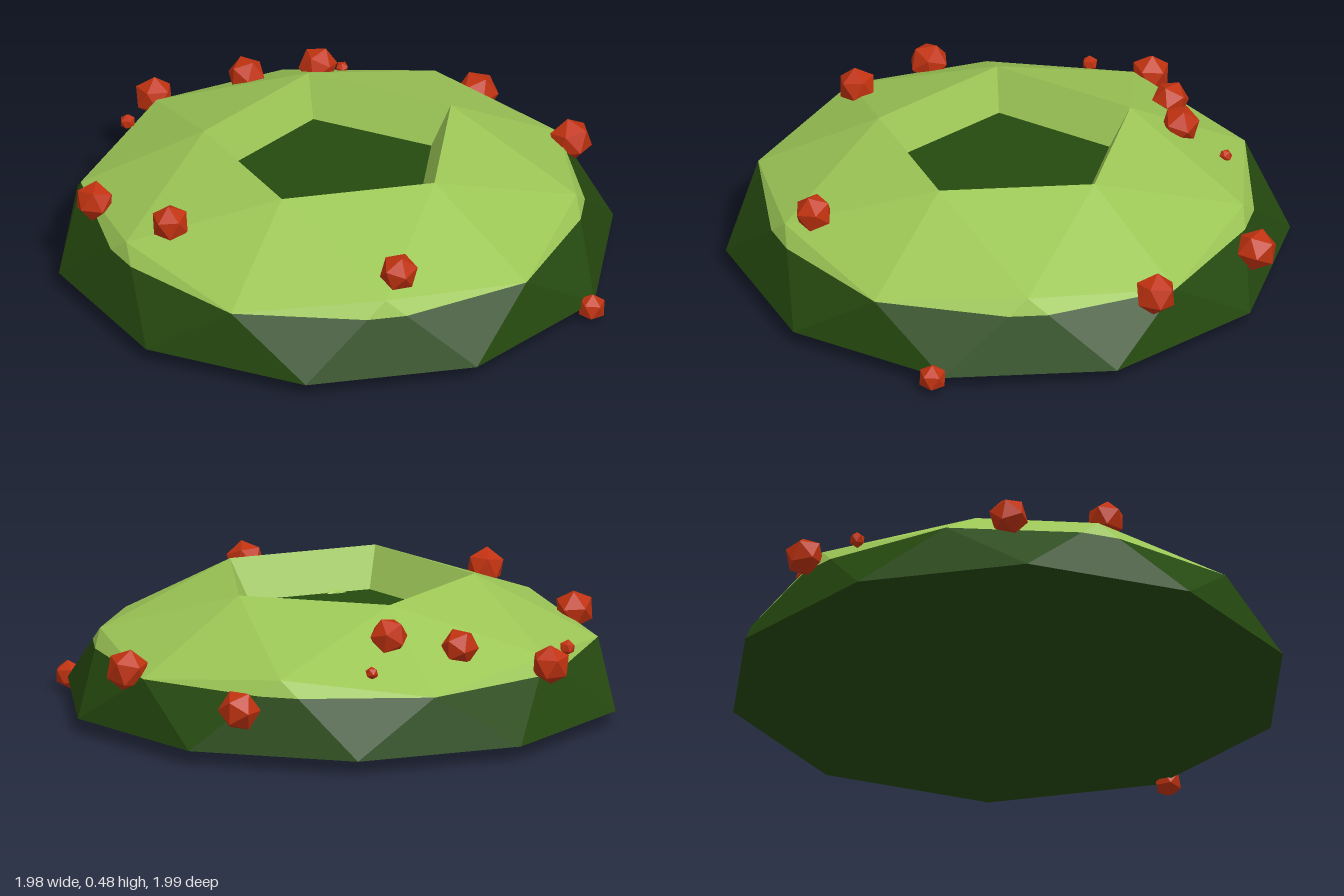
import * as THREE from 'three';

const CX = -0.025; // the body's axis

// Point on a ring round the axis: angle in degrees, radius, height
function ringPoint(deg, r, y) {
  const a = THREE.MathUtils.degToRad(deg);
  return new THREE.Vector3(CX + r * Math.cos(a), y, r * Math.sin(a));
}

// Faceted mesh from a list of triangles
function facets(name, triangles, material) {
  const geometry = new THREE.BufferGeometry().setFromPoints(triangles.flat());
  geometry.computeVertexNormals();
  const mesh = new THREE.Mesh(geometry, material);
  mesh.name = name;
  return mesh;
}

export function createModel() {
  const make = (name, color) => {
    const m = new THREE.MeshStandardMaterial({ color, flatShading: true });
    m.name = name;
    return m;
  };
  const lightGreen = make('lightGreen', 0x9cc656);
  const darkGreen = make('darkGreen', 0x25490f);
  const red = make('red', 0xc03210);

  const group = new THREE.Group();
  group.name = 'domedPlant';

  const skirt = [], cap = [], walls = [], floor = [], base = [];
  const baseCentre = new THREE.Vector3(CX, 0.055, 0);
  const floorCentre = new THREE.Vector3(CX, 0.342, 0);

  // Five equal sectors of a faceted dome
  for (let k = 0; k < 5; k++) {
    const t = 72 * k;
    const [e0, e1, e2] = [-18, 18, 54].map(d => ringPoint(t + d, 0.997, 0.055));
    const a = ringPoint(t, 0.904, 0.25), a2 = ringPoint(t + 72, 0.904, 0.25);
    const m = ringPoint(t + 36, 0.852, 0.308);
    const p = ringPoint(t, 0.467, 0.485), p2 = ringPoint(t + 72, 0.467, 0.485);
    const f = ringPoint(t, 0.387, 0.342), f2 = ringPoint(t + 72, 0.387, 0.342);
    // where the colour line crosses the facets below m
    const s = (m.y - 0.25) / (m.y - 0.055);
    const c1 = m.clone().lerp(e1, s), c2 = m.clone().lerp(e2, s);

    skirt.push([e0, a, e1], [e1, a, c1], [e1, c1, e2], [e2, c1, c2], [e2, c2, a2]);
    cap.push([a, m, c1], [c1, m, c2], [c2, m, a2], [a, p, m], [m, p, p2], [m, p2, a2]);
    walls.push([f, f2, p], [p, f2, p2]);
    floor.push([floorCentre, f2, f]);
    base.push([baseCentre, e0, e1], [baseCentre, e1, e2]);
  }
  group.add(
    facets('lowerSkirt', skirt, darkGreen),
    facets('base', base, darkGreen),
    facets('upperCap', cap, lightGreen),
    facets('hollowWalls', walls, lightGreen),
    facets('hollowFloor', floor, darkGreen)
  );

  // Small sprout in the hollow
  const sprout = new THREE.Mesh(new THREE.IcosahedronGeometry(0.035, 0), lightGreen);
  sprout.name = 'sprout';
  sprout.position.set(0.165, 0.337, 0.26);
  sprout.rotation.y = 0.9;
  sprout.scale.set(1.3, 0.5, 0.4);
  group.add(sprout);

  // Red berries scattered on the dome: x, y, z, radius
  const berries = [
    [-0.19, 0.21, -0.925, 0.076], [0.34, 0.265, -0.83, 0.078], [0.94, 0.055, -0.275, 0.052],
    [-0.53, 0.32, -0.59, 0.024], [-0.495, 0.415, -0.425, 0.07], [-0.69, 0.37, -0.265, 0.068],
    [-0.925, 0.29, -0.04, 0.072], [-0.86, 0.3, 0.17, 0.029], [-0.575, 0.3, 0.66, 0.072],
    [-0.17, 0.39, 0.71, 0.07], [0.635, 0.37, 0.4, 0.07]
  ];
  berries.forEach(([x, y, z, r], i) => {
    const berry = new THREE.Mesh(new THREE.IcosahedronGeometry(r, 0), red);
    berry.name = 'berry' + (i + 1);
    berry.position.set(x, y, z);
    berry.rotation.set(i * 1.3, i * 0.7, i * 2.1);
    group.add(berry);
  });

  return group;
}
